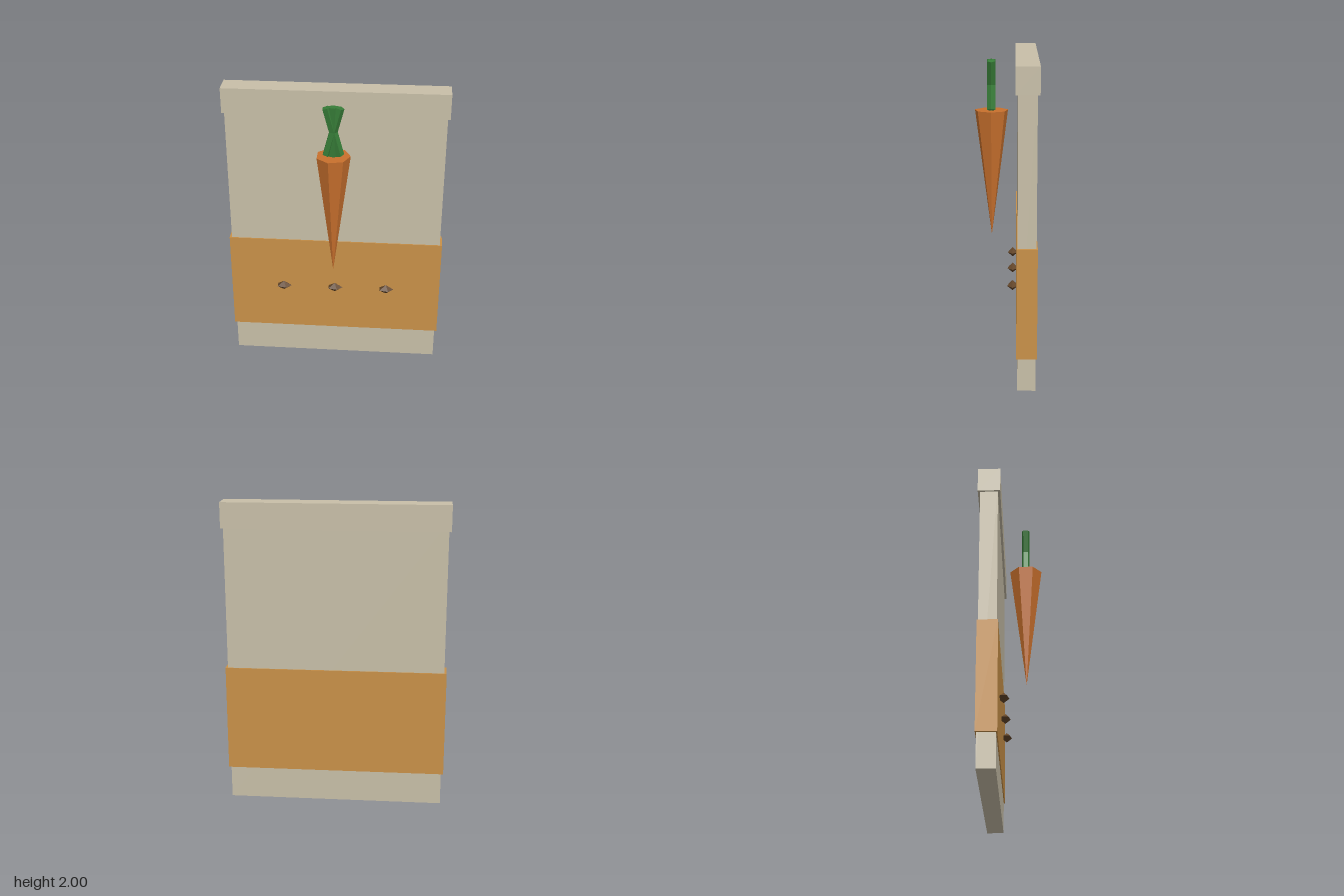
import * as THREE from 'three';

const paint = (name, color) => {
  const m = new THREE.MeshStandardMaterial({ color, flatShading: true });
  m.name = name;
  return m;
};

export function createModel() {
  const model = new THREE.Group();
  model.name = 'seedPacket';
  const paper = paint('paper', 0xc8bfa8);
  const ochre = paint('ochre label', 0xc99148);
  const orange = paint('carrot orange', 0xc8702d);
  const green = paint('leaf green', 0x377d38);
  const brown = paint('seed brown', 0x624529);

  const add = (name, geometry, material, x, y, z) => {
    const mesh = new THREE.Mesh(geometry, material);
    mesh.name = name;
    mesh.position.set(x, y, z);
    model.add(mesh);
    return mesh;
  };

  // Packet: body, folded top and wrapped label
  const slab = (name, material, width, y0, y1, depth) =>
    add(name, new THREE.BoxGeometry(width, y1 - y0, depth), material, 0, (y0 + y1) / 2, -0.132);
  slab('packetBody', paper, 1.406, 0, 1.9, 0.113);
  slab('foldedTop', paper, 1.436, 1.835, 2, 0.143);
  slab('labelBand', ochre, 1.436, 0.215, 0.918, 0.127);

  // Seven-sided carrot, point down
  add('carrotRoot', new THREE.CylinderGeometry(0.11, 0, 0.836, 7, 1, false, Math.PI / 2),
    orange, 0, 1.22, 0.094);

  // Three crossing leaf stalks
  const stalk = new THREE.CylinderGeometry(0.028, 0.028, 0.325, 5, 1, false, Math.PI / 2);
  for (const tilt of [-0.26, 0, 0.26]) {
    add('leafStalk', stalk, green, 0, 1.801, 0.094).rotation.z = tilt;
  }

  // Row of faceted seeds on the label
  const seed = new THREE.SphereGeometry(1, 5, 2, Math.PI);
  seed.scale(0.053, 0.034, 0.036);
  for (const x of [-0.352, 0, 0.352]) add('seed', seed, brown, x, 0.566, -0.045);

  return model;
}
